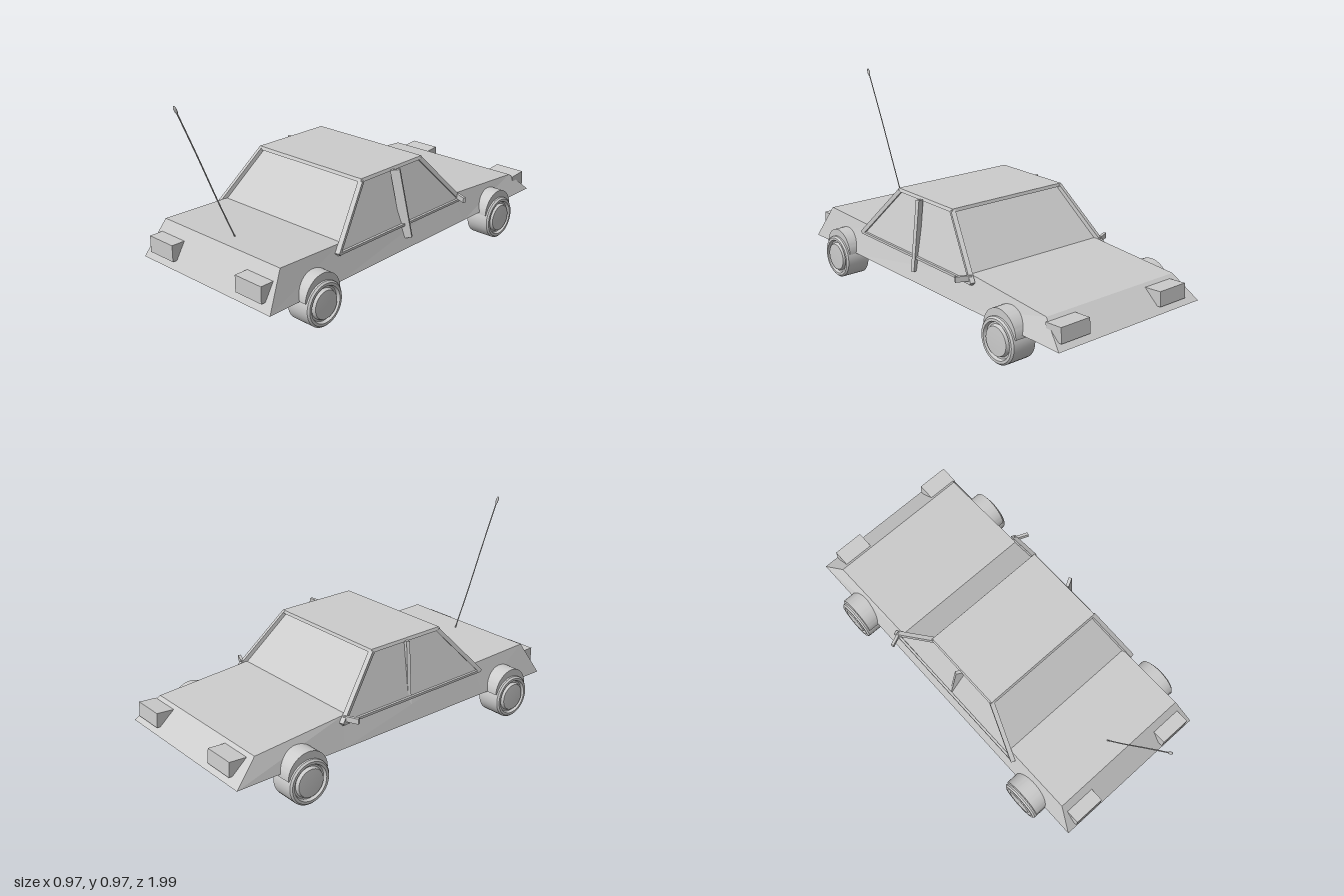
import * as THREE from 'three';
import { toCreasedNormals } from 'three/addons/utils/BufferGeometryUtils.js';

const flat = new THREE.MeshStandardMaterial({ color: 0xcccccc, flatShading: true });
const smooth = new THREE.MeshStandardMaterial({ color: 0xcccccc, side: THREE.DoubleSide });
const V = (x, y, z) => new THREE.Vector3(x, y, z);
const CX = 0.01; // the body sits slightly off the wheel centre line

export function createModel() {
  const car = new THREE.Group();
  car.name = 'car';

  const add = (name, geometry, material = flat) => {
    const mesh = new THREE.Mesh(geometry, material);
    mesh.name = name;
    car.add(mesh);
    return mesh;
  };
  const box = (name, w, h, d, x, y, z) => {
    const mesh = add(name, new THREE.BoxGeometry(w, h, d));
    mesh.position.set(x, y, z);
    return mesh;
  };
  // square bar running from a to b
  const bar = (name, a, b, w, h) => {
    const mesh = add(name, new THREE.BoxGeometry(w, h, a.distanceTo(b)));
    mesh.position.copy(a).lerp(b, 0.5);
    mesh.lookAt(b);
    return mesh;
  };
  // closed skin over a row of four-cornered rings
  const loft = (rings) => {
    const pos = [];
    const quad = (a, b, c, d) => [a, b, c, a, c, d].forEach((p) => pos.push(p.x, p.y, p.z));
    quad(...rings[0]);
    for (let i = 0; i + 1 < rings.length; i++) {
      for (let j = 0; j < 4; j++) {
        const k = (j + 1) % 4;
        quad(rings[i][j], rings[i + 1][j], rings[i + 1][k], rings[i][k]);
      }
    }
    quad(...[...rings[rings.length - 1]].reverse());
    const g = new THREE.BufferGeometry();
    g.setAttribute('position', new THREE.Float32BufferAttribute(pos, 3));
    g.computeVertexNormals();
    return g;
  };

  // lower body: bottom z, bottom y, top z, top y
  const sections = [
    [0.89, 0.14, 0.79, 0.31],
    [0.47, 0.145, 0.43, 0.302],
    [-0.42, 0.153, -0.39, 0.295],
    [-0.99, 0.16, -0.87, 0.263],
  ];
  add('body', loft(sections.map(([zb, yb, zt, yt]) => [
    V(CX - 0.42, yb, zb), V(CX + 0.42, yb, zb), V(CX + 0.38, yt, zt), V(CX - 0.38, yt, zt),
  ])));

  // cabin: glass block, corner pillars, sills and roof
  const ring = (w, y, zBack, zFront) => [
    V(CX - w, y, zBack), V(CX - w, y, zFront), V(CX + w, y, zFront), V(CX + w, y, zBack),
  ];
  const base = ring(0.4, 0.265, 0.465, -0.415);
  const top = ring(0.325, 0.523, 0.233, -0.178);
  add('windows', loft([ring(0.392, 0.265, 0.455, -0.405), ring(0.318, 0.523, 0.226, -0.172)]));
  base.forEach((p, i) => bar('cornerPillar', p, top[i], 0.022, 0.02));
  bar('leftSill', base[2], base[3], 0.012, 0.012);
  bar('rightSill', base[0], base[1], 0.012, 0.012);
  add('roof', loft([ring(0.336, 0.52, 0.247, -0.19), ring(0.33, 0.535, 0.24, -0.185)]));

  // door pillars, the right one half sunk in the window
  bar('leftDoorPillar', V(0.422, 0.2, 0.005), V(0.365, 0.53, 0.035), 0.016, 0.045);
  bar('rightDoorPillar', V(-0.37, 0.2, 0.005), V(-0.328, 0.525, 0.025), 0.016, 0.045);

  // lamps at both ends
  for (const side of [-1, 1]) {
    box('rearLamp', 0.16, 0.08, 0.08, CX + side * 0.29, 0.218, 0.85);
    const lamp = box('noseLamp', 0.16, 0.07, 0.09, CX + 0.025 + side * 0.29, 0.218, -0.93);
    lamp.rotation.x = 0.08;
  }

  // door mirrors
  for (const side of [-1, 1]) {
    const mirror = box('mirror', 0.075, 0.026, 0.014, CX + side * 0.425, 0.287, -0.383);
    mirror.rotation.y = -side * 0.4;
  }

  // wheels with recessed rims, and half-round arches above them
  const tyreProfile = [
    [0, 0], [0.095, 0], [0.106, 0.008], [0.106, 0.124], [0.098, 0.132],
    [0.086, 0.132], [0.08, 0.118], [0.072, 0.118], [0.066, 0.134], [0, 0.137],
  ].map(([r, h]) => new THREE.Vector2(r, h));
  const wheelGeo = toCreasedNormals(new THREE.LatheGeometry(tyreProfile, 32), 0.5);
  const archGeo = toCreasedNormals(
    new THREE.ExtrudeGeometry(new THREE.Shape().absarc(0, 0, 0.106, 0, Math.PI), {
      depth: 0.12, bevelEnabled: false, curveSegments: 16,
    }), 0.5);
  for (const side of [-1, 1]) {
    for (const z of [0.615, -0.665]) {
      const wheel = add('wheel', wheelGeo, smooth);
      wheel.position.set(side * 0.35, 0.107, z);
      wheel.rotation.z = -side * Math.PI / 2;
      const arch = add('wheelArch', archGeo, smooth);
      arch.position.set(side * 0.345, 0.143, z);
      arch.rotation.y = side * Math.PI / 2;
    }
  }

  // whip antenna with a small tip
  const whip = new THREE.CatmullRomCurve3([
    V(0.01, 0.3, 0.7), V(0.01, 0.5, 0.79), V(0.012, 0.72, 0.885), V(0.015, 0.96, 0.993),
  ]);
  add('antenna', new THREE.TubeGeometry(whip, 16, 0.003, 6), smooth);
  const tip = add('antennaTip', new THREE.SphereGeometry(0.007, 8, 6), smooth);
  tip.scale.y = 3;
  tip.position.set(0.015, 0.953, 0.99);
  tip.rotation.x = 0.42;

  return car;
}
